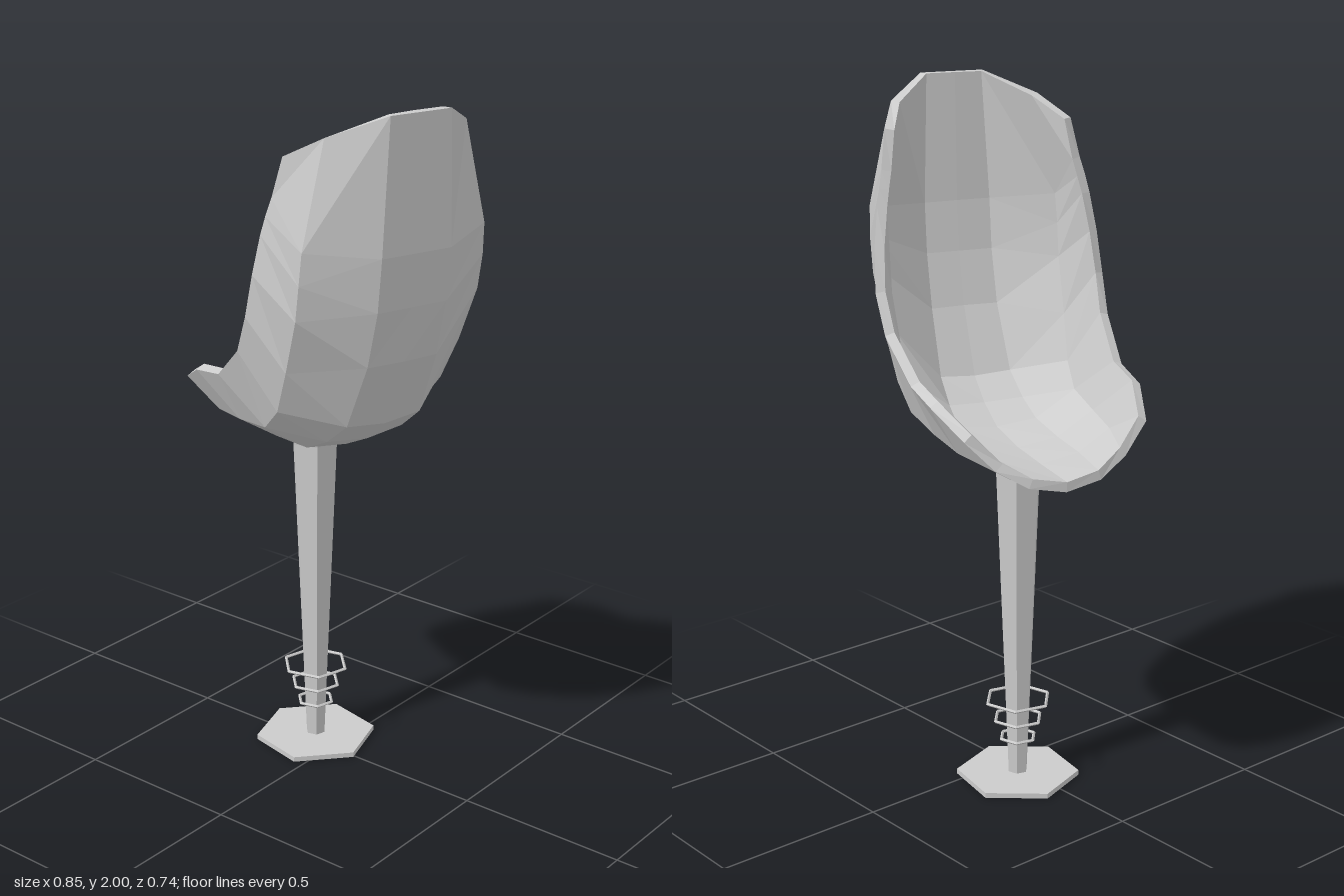
import * as THREE from 'three';

const grey = new THREE.MeshStandardMaterial({ color: 0xcccccc, flatShading: true });

function add(parent, name, geometry, y = 0, turn = 0) {
  const mesh = new THREE.Mesh(geometry, grey);
  mesh.name = name;
  mesh.position.y = y;
  mesh.rotation.y = turn;
  parent.add(mesh);
  return mesh;
}

// Half cross-sections from the front lip to the top of the back.
// Each row: centre, inner, outer and rim point as [along, across, height].
const ROWS = [
  [[-0.333, 0, 0.98], [-0.325, 0.105, 1.0], [-0.298, 0.19, 1.05], [-0.266, 0.266, 1.13]],
  [[-0.16, 0, 0.98], [-0.155, 0.125, 1.0], [-0.14, 0.235, 1.06], [-0.132, 0.311, 1.195]],
  [[0, 0, 0.982], [0, 0.13, 1.0], [0, 0.25, 1.075], [0, 0.317, 1.22]],
  [[0.163, 0, 1.0], [0.16, 0.13, 1.015], [0.155, 0.262, 1.1], [0.142, 0.339, 1.33]],
  [[0.268, 0, 1.05], [0.255, 0.125, 1.06], [0.235, 0.272, 1.17], [0.197, 0.346, 1.44]],
  [[0.352, 0, 1.12], [0.345, 0.12, 1.13], [0.3, 0.285, 1.3], [0.222, 0.338, 1.56]],
  [[0.436, 0, 1.32], [0.43, 0.112, 1.32], [0.365, 0.295, 1.46], [0.24, 0.322, 1.67]],
  [[0.472, 0, 1.48], [0.472, 0.11, 1.48], [0.383, 0.296, 1.56], [0.25, 0.312, 1.72]],
  [[0.49, 0, 1.63], [0.49, 0.11, 1.63], [0.392, 0.292, 1.65], [0.262, 0.3, 1.77]],
  [[0.5, 0, 2.0], [0.5, 0.095, 2.0], [0.3925, 0.223, 1.94], [0.286, 0.281, 1.88]],
];

// Scooped shell: mirrored sections, thickened inward along the normals, with a closed rim.
function shellGeometry(thickness) {
  const cols = 7, rows = ROWS.length, n = rows * cols;
  const outer = [];
  for (const row of ROWS) {
    for (let j = -3; j <= 3; j++) {
      const [u, v, y] = row[Math.abs(j)];
      outer.push(u, y, Math.sign(j) * v);
    }
  }
  const index = [];
  for (let i = 0; i < rows - 1; i++) {
    for (let j = 0; j < cols - 1; j++) {
      const a = i * cols + j, b = a + cols;
      index.push(a, b, a + 1, b, b + 1, a + 1);
    }
  }
  const skin = new THREE.BufferGeometry();
  skin.setAttribute('position', new THREE.Float32BufferAttribute(outer, 3));
  skin.setIndex(index);
  skin.computeVertexNormals();
  const normals = skin.attributes.normal.array;
  const inner = outer.map((p, k) => p - normals[k] * thickness);

  const all = index.slice();
  for (let k = 0; k < index.length; k += 3) {
    all.push(index[k] + n, index[k + 2] + n, index[k + 1] + n);
  }
  // Rim around the four borders
  const border = [];
  for (let i = 0; i < rows - 1; i++) border.push(i * cols);
  for (let j = 0; j < cols - 1; j++) border.push((rows - 1) * cols + j);
  for (let i = rows - 1; i > 0; i--) border.push(i * cols + cols - 1);
  for (let j = cols - 1; j > 0; j--) border.push(j);
  border.forEach((a, k) => {
    const b = border[(k + 1) % border.length];
    all.push(b, a, a + n, b, a + n, b + n);
  });

  const shell = new THREE.BufferGeometry();
  // The top edge stays level with the outer skin
  const points = outer.concat(inner.map((p, k) => (k % 3 === 1 ? Math.min(p, 2) : p)));
  shell.setAttribute('position', new THREE.Float32BufferAttribute(points, 3));
  shell.setIndex(all);
  const flat = shell.toNonIndexed();
  flat.computeVertexNormals();
  return flat;
}

export function createModel() {
  const chair = new THREE.Group();
  chair.name = 'barChair';
  chair.position.set(-0.085, 0, -0.031);
  const deg = Math.PI / 180;

  // Seat and back in one shell
  add(chair, 'seatShell', shellGeometry(0.028), 0, -18 * deg);

  // Tapered post with a collar under the seat
  add(chair, 'post', new THREE.CylinderGeometry(0.07, 0.029, 0.965, 6), 0.4925, 45 * deg);
  add(chair, 'collar', new THREE.CylinderGeometry(0.078, 0.074, 0.024, 6), 0.975, 45 * deg);

  // Thin rings that shrink toward the foot
  for (const [radius, y] of [[0.097, 0.243], [0.072, 0.183], [0.053, 0.123]]) {
    const ring = new THREE.TorusGeometry(radius, 0.005, 4, 6).rotateX(Math.PI / 2);
    add(chair, 'ring', ring, y, -45 * deg);
  }

  // Hexagonal foot plate
  add(chair, 'footPlate', new THREE.CylinderGeometry(0.179, 0.179, 0.015, 6), 0.0075, 18 * deg);

  const model = new THREE.Group();
  model.add(chair);
  return model;
}
